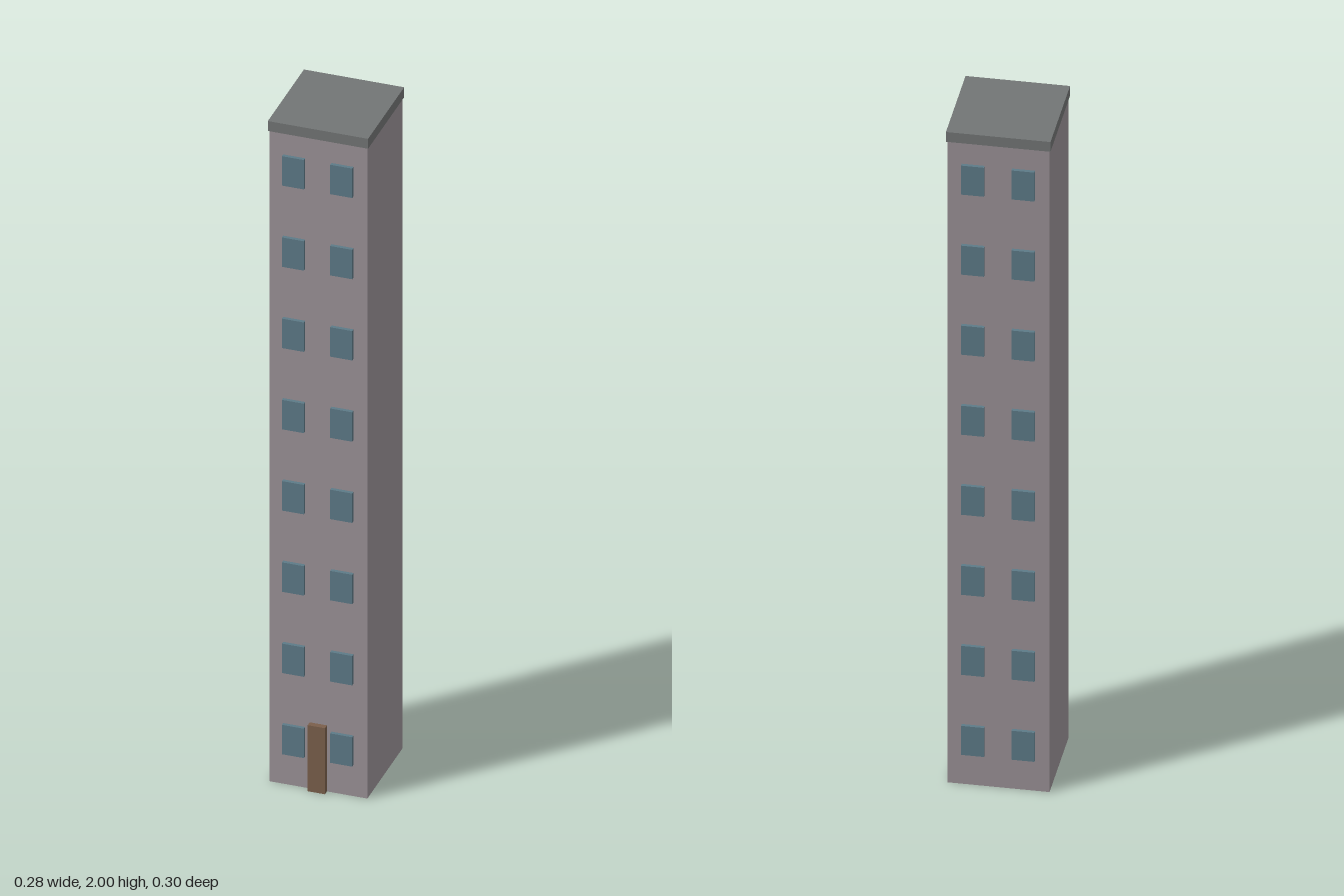
import * as THREE from 'three';

const material = (name, color) => {
  const m = new THREE.MeshStandardMaterial({ color });
  m.name = name;
  return m;
};

export function createModel() {
  const wall = material('wall', 0x9a9196);
  const slate = material('slate', 0x727575);
  const glass = material('glass', 0x5d7a87);
  const wood = material('wood', 0x7a5f4b);

  const tower = new THREE.Group();
  tower.name = 'towerBlock';
  const cz = -0.003; // the door sticks out in front, so the block sits slightly back

  const box = (name, w, h, d, x, y, z, mat) => {
    const mesh = new THREE.Mesh(new THREE.BoxGeometry(w, h, d), mat);
    mesh.name = name;
    mesh.position.set(x, y, z);
    tower.add(mesh);
  };

  // Main block and flat roof slab
  box('walls', 0.272, 1.97, 0.278, 0, 0.985, cz, wall);
  box('roof', 0.278, 0.03, 0.284, 0, 1.985, cz, slate);

  // Door
  box('door', 0.048, 0.2, 0.022, 0, 0.1, 0.141, wood);

  // Two windows per floor, front and back
  const floors = 8;
  for (let i = 0; i < floors; i++) {
    const y = 0.139 + i * 0.246;
    for (const side of [1, -1]) {
      for (const x of [-0.067, 0.067]) {
        box(side > 0 ? 'frontWindow' : 'backWindow', 0.061, 0.089, 0.02, x, y, cz + side * 0.139, glass);
      }
    }
  }
  return tower;
}
